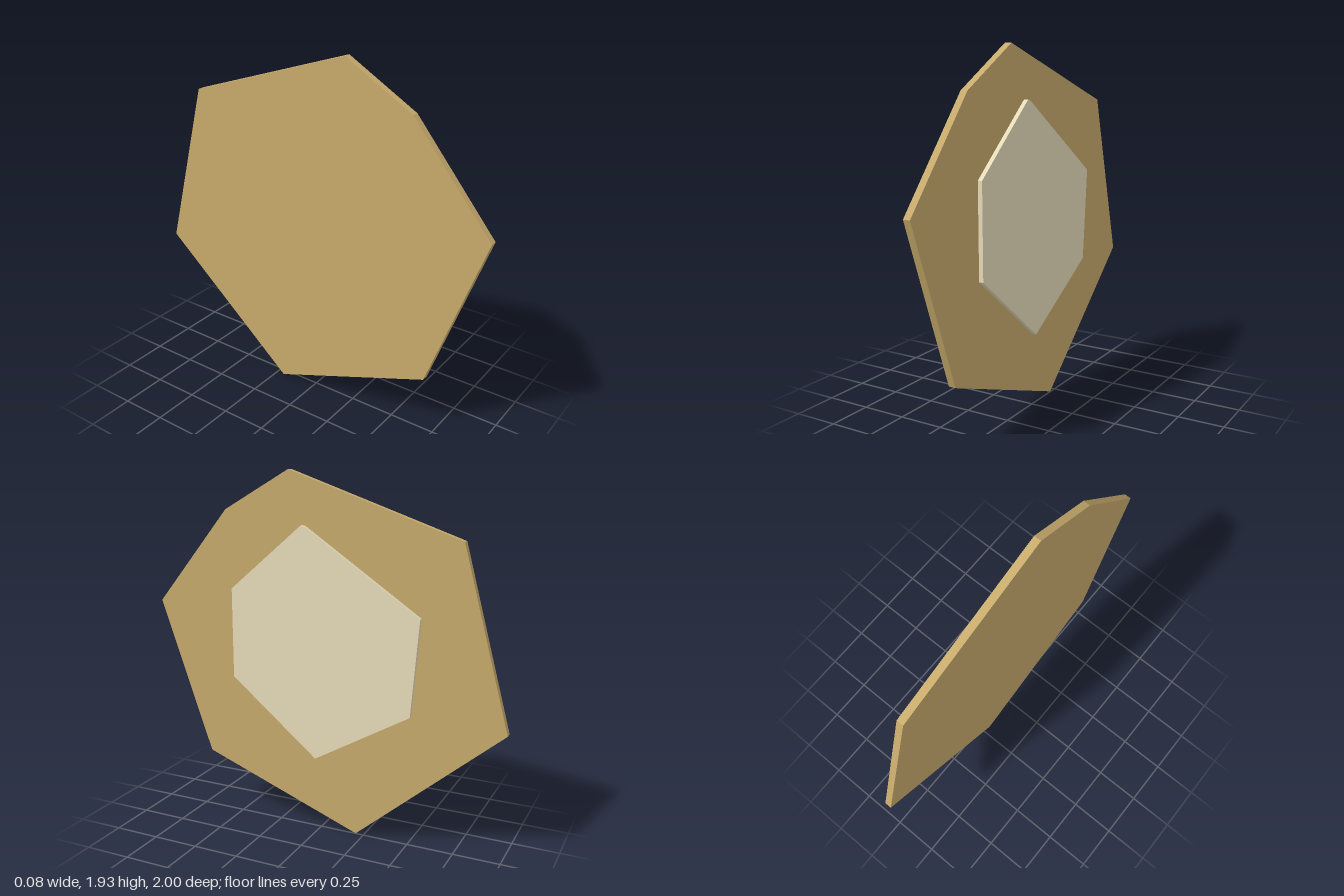
import * as THREE from 'three';

// Flat polygonal slab standing in the y-z plane, from x0 to x1; outline given as [z, y]
function slab(name, outline, x0, x1, color) {
  const shape = new THREE.Shape(outline.map(([z, y]) => new THREE.Vector2(-z, y)));
  const geometry = new THREE.ExtrudeGeometry(shape, { depth: x1 - x0, bevelEnabled: false });
  geometry.rotateY(Math.PI / 2).translate(x0, 0, 0);
  const mesh = new THREE.Mesh(geometry, new THREE.MeshStandardMaterial({ color, flatShading: true }));
  mesh.name = name;
  return mesh;
}

export function createModel() {
  const group = new THREE.Group();
  group.name = 'layeredPlate';

  // Large irregular backing plate
  group.add(slab('backPlate', [
    [0.19, 1.93], [0.565, 1.715], [1, 1.19], [0.7, 0.335],
    [-0.205, 0], [-1, 0.685], [-0.745, 1.615],
  ], -0.04, -0.002, 0xc8ab6c));

  // Smaller pale plate floating just off its face
  group.add(slab('innerPlate', [
    [0.1, 1.655], [0.515, 1.3], [0.515, 0.81], [0.02, 0.41],
    [-0.51, 0.72], [-0.55, 1.23], [0.08, 1.65],
  ], 0.014, 0.038, 0xe8dcba));

  return group;
}
